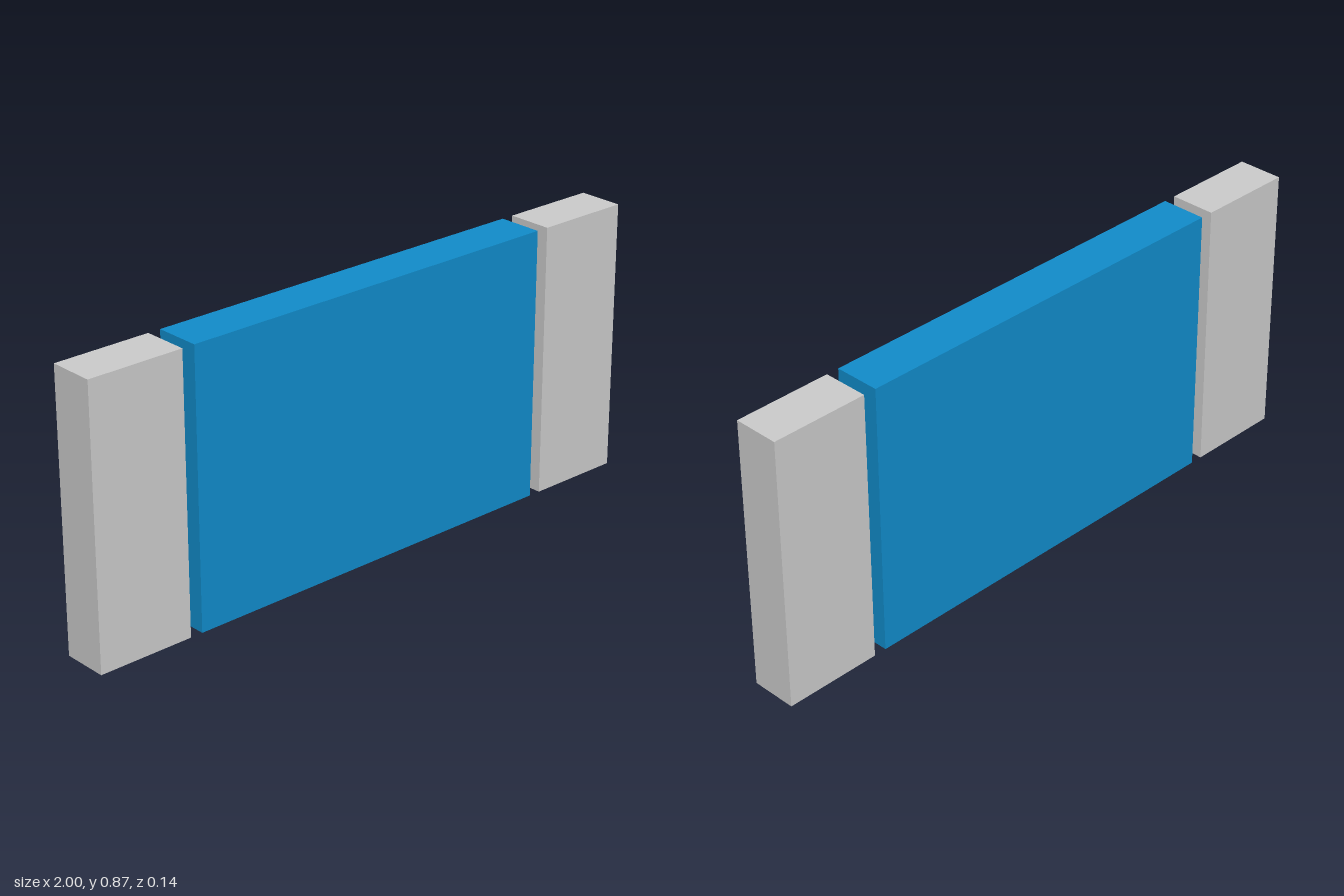
import * as THREE from 'three';

const HEIGHT = 0.865, DEPTH = 0.145;

export function createModel() {
  const model = new THREE.Group();
  const grey = new THREE.MeshStandardMaterial({ color: 0xcccccc });
  const blue = new THREE.MeshStandardMaterial({ color: 0x118ccb });

  // Upright slab spanning x0..x1, standing on the ground
  function addSlab(name, x0, x1, material) {
    const slab = new THREE.Mesh(new THREE.BoxGeometry(x1 - x0, HEIGHT, DEPTH), material);
    slab.name = name;
    slab.position.set((x0 + x1) / 2, HEIGHT / 2, 0);
    model.add(slab);
  }

  // Wide centre panel between two narrow side panels, with small gaps
  addSlab('centrePanel', -0.65, 0.65, blue);
  addSlab('leftPanel', 0.69, 1, grey);
  addSlab('rightPanel', -1, -0.69, grey);

  return model;
}
